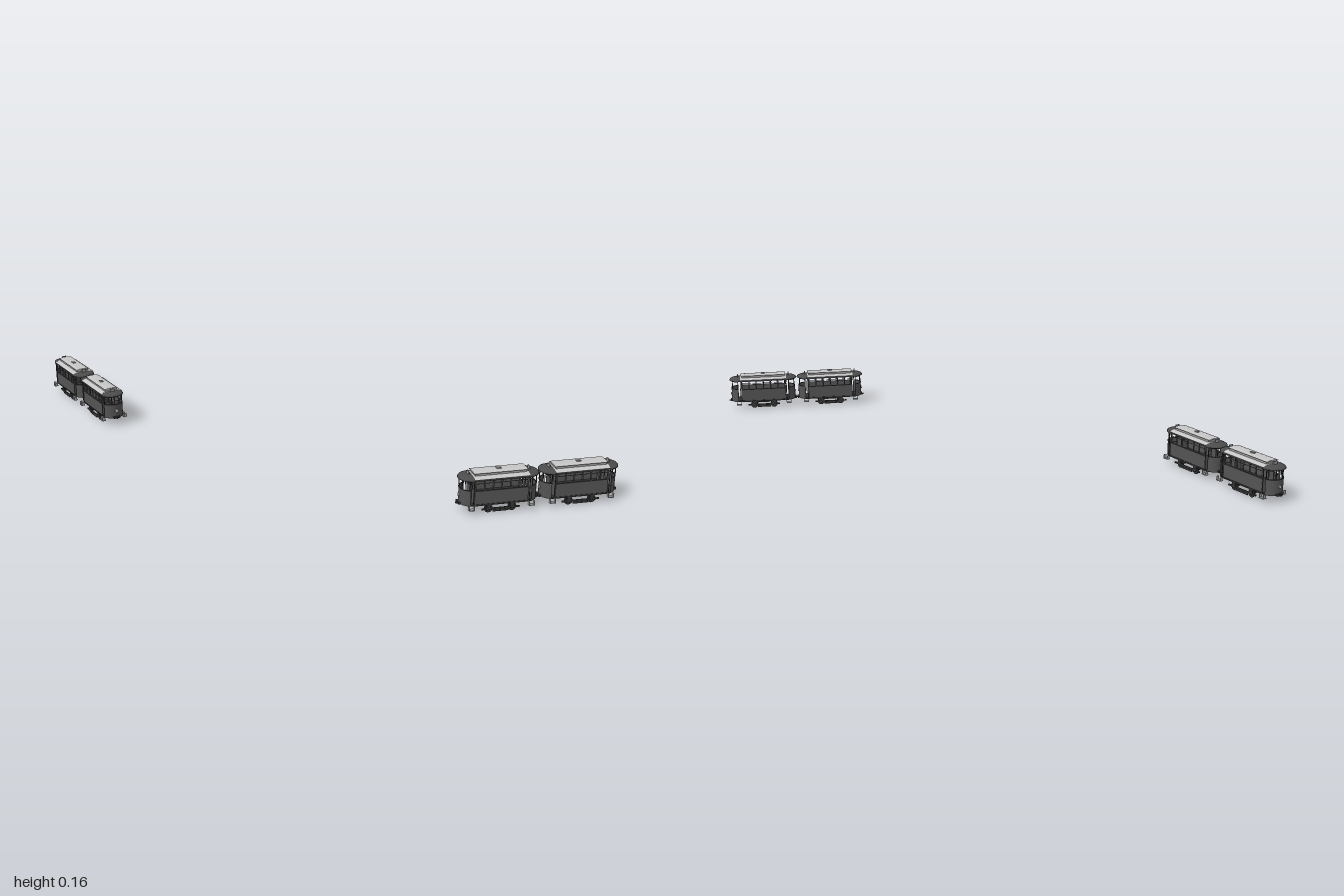
import * as THREE from 'three';

const mat = (name, color) => Object.assign(new THREE.MeshStandardMaterial({ color }), { name });

export function createModel() {
  const M = {
    body: mat('body grey', 0x545454),
    hood: mat('hood grey', 0x4c4c4c),
    dark: mat('iron', 0x343434),
    roof: mat('pale roof', 0xc6c6c6),
    trim: mat('trim grey', 0x9c9c9c),
  };
  const add = (g, name, geo, m, x = 0, y = 0, z = 0) => {
    const mesh = new THREE.Mesh(geo, m);
    mesh.name = name;
    mesh.position.set(x, y, z);
    g.add(mesh);
    return mesh;
  };
  const box = (g, name, m, w, h, d, x, y, z) => add(g, name, new THREE.BoxGeometry(w, h, d), m, x, y, z);
  const extrude = (shape, depth, seg = 10) =>
    new THREE.ExtrudeGeometry(shape, { depth, bevelEnabled: false, curveSegments: seg });
  const poly = (pts) => new THREE.Shape(pts.map((p) => new THREE.Vector2(p[0], p[1])));
  const rect = (x0, y0, x1, y1) => poly([[x0, y0], [x1, y0], [x1, y1], [x0, y1]]);

  // cross-section in z/y, mirrored and run along the car
  const prism = (half, length) => {
    const pts = [...half, ...half.map(([z, y]) => [-z, y]).reverse()];
    return extrude(poly(pts), length).translate(0, 0, -length / 2).rotateY(Math.PI / 2);
  };
  // plan with round ends, laid flat
  const stadium = (half, r, h) => {
    const s = new THREE.Shape();
    s.absarc(half, 0, r, -Math.PI / 2, Math.PI / 2, false);
    s.absarc(-half, 0, r, Math.PI / 2, Math.PI * 1.5, false);
    return extrude(s, h).rotateX(-Math.PI / 2);
  };
  // upright curved panel around the platform end
  const arcPanel = (r0, r1, a, h) => {
    const s = new THREE.Shape();
    s.absarc(0, 0, r1, -a, a, false);
    s.absarc(0, 0, r0, a, -a, true);
    return extrude(s, h).rotateX(-Math.PI / 2);
  };

  const L = 0.102, W = 0.044;

  // saloon wall with a row of windows
  const wallShape = rect(-L, 0.034, L, 0.131);
  const bays = 6, pitch = (2 * L - 0.006) / bays;
  for (let i = 0; i < bays; i++) {
    const x = -L + 0.003 + i * pitch;
    wallShape.holes.push(rect(x + 0.0025, 0.092, x + pitch - 0.0025, 0.127));
  }
  // bulkhead with two windows and a doorway
  const bulkShape = rect(-W, 0.034, W, 0.131);
  for (const [a, b] of [[-0.038, -0.015], [0.015, 0.038]]) bulkShape.holes.push(rect(a, 0.092, b, 0.126));
  bulkShape.holes.push(rect(-0.011, 0.04, 0.011, 0.126));

  function addEnd(car, s) {
    const end = new THREE.Group();
    end.name = 'platformEnd';
    if (s < 0) end.rotation.y = Math.PI;
    car.add(end);
    add(end, 'bulkhead', extrude(bulkShape, 0.003).rotateY(Math.PI / 2), M.body, L - 0.003);
    add(end, 'dash', arcPanel(0.0415, 0.044, 1.25, 0.06), M.body, L, 0.032);
    add(end, 'dashRail', arcPanel(0.041, 0.0452, 1.25, 0.003), M.dark, L, 0.09);
    add(end, 'windscreenHead', arcPanel(0.0415, 0.044, 1.25, 0.006), M.dark, L, 0.125);
    for (const a of [-1.22, -0.4, 0.4, 1.22])
      box(end, 'screenPost', M.dark, 0.003, 0.04, 0.003, L + 0.0428 * Math.cos(a), 0.11, 0.0428 * Math.sin(a));
    // domed hood over the platform
    const dome = new THREE.SphereGeometry(0.048, 16, 5, Math.PI / 2, Math.PI, 0, Math.PI / 2).scale(1, 0.24, 1);
    add(end, 'hood', dome, M.hood, L + 0.003, 0.132, 0);
    // headlamp, roof lamp and bumper
    const lamp = new THREE.CylinderGeometry(0.006, 0.006, 0.005, 12).rotateZ(Math.PI / 2);
    add(end, 'headlamp', lamp, M.roof, L + 0.0455, 0.065, 0);
    box(end, 'roofSign', M.trim, 0.004, 0.012, 0.018, L + 0.014, 0.148, 0);
    box(end, 'bumper', M.dark, 0.008, 0.008, 0.03, L + 0.046, 0.035, 0);
    box(end, 'coupler', M.dark, 0.012, 0.004, 0.006, L + 0.05, 0.033, 0);
    // boarding steps and handrails on both sides
    for (const z of [-1, 1]) {
      box(end, 'step', M.trim, 0.022, 0.003, 0.016, L + 0.012, 0.021, z * 0.049);
      for (const x of [0.002, 0.022])
        box(end, 'stepHanger', M.trim, 0.002, 0.016, 0.012, L + x, 0.028, z * 0.05);
      box(end, 'handrail', M.dark, 0.002, 0.09, 0.002, L + 0.004, 0.083, z * 0.0455);
    }
  }

  function createCar() {
    const car = new THREE.Group();
    car.name = 'tramCar';
    add(car, 'floor', stadium(L, 0.043, 0.005), M.dark, 0, 0.031, 0);
    for (const z of [-1, 1]) {
      add(car, 'sideWall', extrude(wallShape, 0.003), M.body, 0, 0, z * 0.0425 - 0.0015);
      box(car, 'sillRail', M.dark, 2 * L, 0.003, 0.002, 0, 0.09, z * 0.045);
      box(car, 'lowerRail', M.dark, 2 * L, 0.004, 0.002, 0, 0.036, z * 0.045);
      box(car, 'transom', M.dark, 2 * L, 0.0015, 0.002, 0, 0.118, z * 0.0425);
      box(car, 'bench', M.dark, 0.19, 0.022, 0.014, 0, 0.047, z * 0.033);
      box(car, 'eaveRail', M.hood, 0.21, 0.004, 0.002, 0, 0.133, z * 0.0475);
      box(car, 'clerestoryRail', M.dark, 0.196, 0.0015, 0.002, 0, 0.15, z * 0.0275);
      // running gear
      box(car, 'truckFrame', M.dark, 0.145, 0.006, 0.004, 0, 0.016, z * 0.041);
      for (const x of [-0.045, 0.045]) {
        const wheel = new THREE.CylinderGeometry(0.016, 0.016, 0.005, 18).rotateX(Math.PI / 2);
        add(car, 'wheel', wheel, M.dark, x, 0.016, z * 0.035);
        box(car, 'axleBox', M.dark, 0.016, 0.022, 0.005, x, 0.022, z * 0.0405);
      }
      box(car, 'lifeguard', M.dark, 0.06, 0.008, 0.003, 0, 0.008, z * 0.041);
    }
    for (const x of [-0.045, 0.045]) {
      const axle = new THREE.CylinderGeometry(0.003, 0.003, 0.07, 8).rotateX(Math.PI / 2);
      add(car, 'axle', axle, M.dark, x, 0.016, 0);
    }
    // roof: lower slopes with raised clerestory
    add(car, 'roofBoard', stadium(0.105, 0.048, 0.003), M.hood, 0, 0.129, 0);
    add(car, 'lowerRoof', prism([[0.047, 0.131], [0.047, 0.135], [0.038, 0.139], [0.026, 0.142]], 0.21), M.roof);
    add(car, 'clerestory', prism([[0.0265, 0.141], [0.0265, 0.149]], 0.196), M.trim);
    add(car, 'clerestoryRoof', prism([[0.028, 0.149], [0.028, 0.151], [0.014, 0.154]], 0.205), M.roof);
    box(car, 'roofVent', M.trim, 0.018, 0.004, 0.012, 0, 0.1555, 0);
    for (const s of [-1, 1]) addEnd(car, s);
    return car;
  }

  const model = new THREE.Group();
  model.name = 'tramTrains';
  const placements = [
    [0.538, 0.826, 0], [0.847, 0.826, 0],
    [-0.903, -0.737, -70], [-0.797, -0.447, -70],
  ];
  for (const [x, z, deg] of placements) {
    const car = createCar();
    car.position.set(x, 0, z);
    car.rotation.y = THREE.MathUtils.degToRad(deg);
    model.add(car);
  }
  return model;
}
